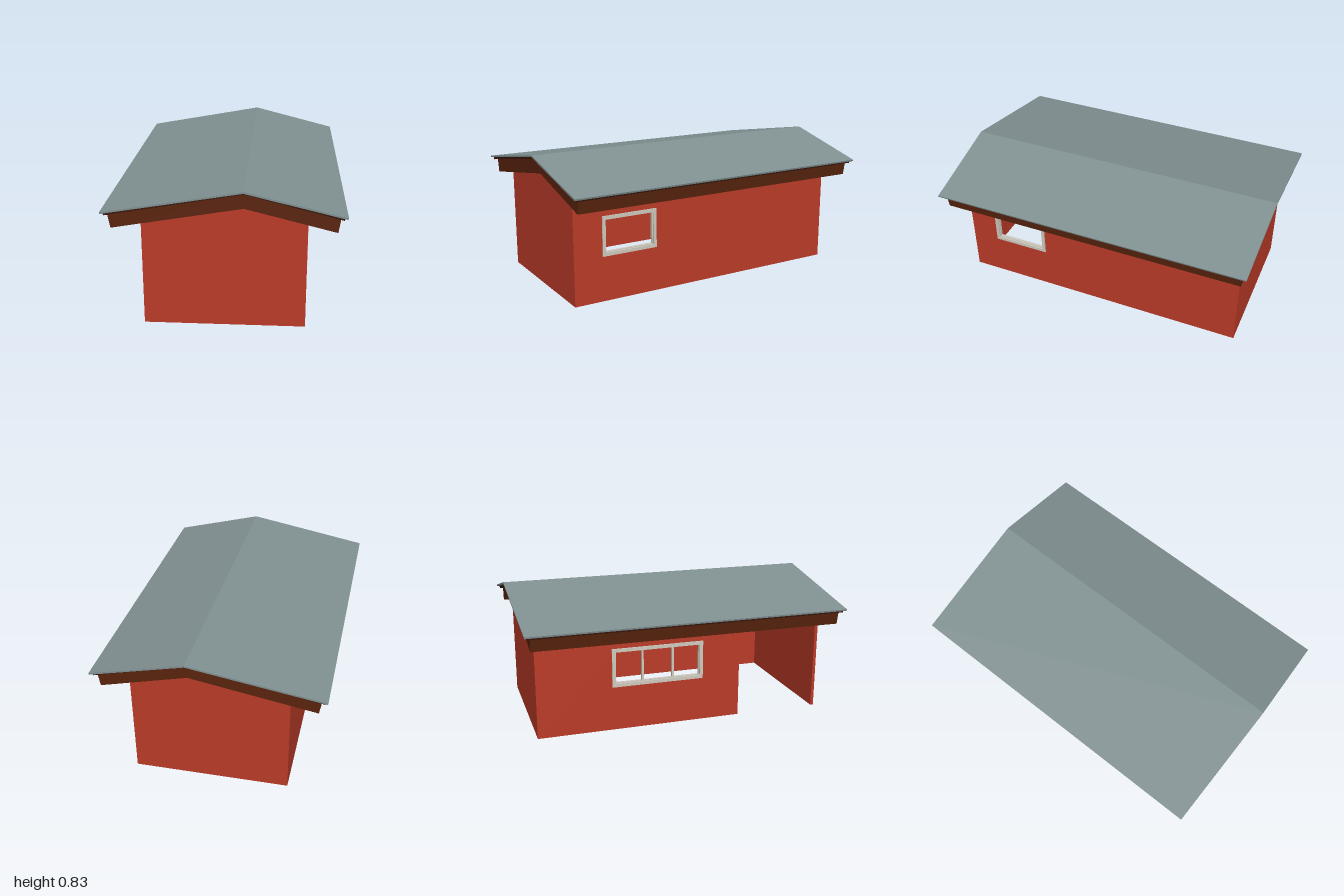
import * as THREE from 'three';

const mat = (color) => new THREE.MeshStandardMaterial({ color, flatShading: true });
const red = mat(0xbb3b28), brown = mat(0x5a240e), darkBrown = mat(0x3a180b);
const slate = mat(0x809091), cream = mat(0xcfcabe);

const polygon = (pts) => new THREE.Shape(pts.map(([x, y]) => new THREE.Vector2(x, y)));
const rectPath = (x0, y0, x1, y1) =>
  new THREE.Path([[x0, y0], [x1, y0], [x1, y1], [x0, y1]].map(([x, y]) => new THREE.Vector2(x, y)));

function extrude(shape, depth) {
  return new THREE.ExtrudeGeometry(shape, { depth, bevelEnabled: false });
}

function add(group, name, geometry, material) {
  const mesh = new THREE.Mesh(geometry, material);
  mesh.name = name;
  group.add(mesh);
  return mesh;
}

// Side profile (z, y) extruded between two x positions
function sidePanel(shape, x0, x1) {
  return extrude(shape, x1 - x0).rotateY(Math.PI / 2).translate(x0, 0, 0);
}

// Cross-section in (x, y) extruded symmetrically along z
function roofLayer(pts, halfLength) {
  return extrude(polygon(pts), halfLength * 2).translate(0, 0, -halfLength);
}

// Longitudinal wall with one window opening; z runs from z0 to z1
function sideWall(x0, x1, z0, z1, top, win) {
  const shape = polygon([[-z1, 0], [-z0, 0], [-z0, top], [-z1, top]]);
  const i = 0.012;
  shape.holes.push(rectPath(-win.z1 + i, win.y0 + i, -win.z0 - i, win.y1 - i));
  return sidePanel(shape, x0, x1);
}

// Window frame with a stepped inner sash and evenly spaced mullions
function windowFrame(name, side, win, panes) {
  const g = new THREE.Group();
  g.name = name;
  const ring = (inset, width) => {
    const a = -win.z1 + inset, b = -win.z0 - inset, c = win.y0 + inset, d = win.y1 - inset;
    const s = polygon([[a, c], [b, c], [b, d], [a, d]]);
    s.holes.push(rectPath(a + width, c + width, b - width, d - width));
    return s;
  };
  const span = (a, b) => (side > 0 ? [a, b] : [-b, -a]);
  add(g, 'outerFrame', sidePanel(ring(0, 0.02), ...span(0.434, 0.468)), cream);
  add(g, 'innerSash', sidePanel(ring(0.019, 0.006), ...span(0.44, 0.458)), cream);
  for (let k = 1; k < panes; k++) {
    const z = win.z0 + ((win.z1 - win.z0) * k) / panes;
    const bar = new THREE.BoxGeometry(0.018, win.y1 - win.y0 - 0.04, 0.012);
    bar.translate(side * 0.449, (win.y0 + win.y1) / 2, z);
    add(g, 'mullion', bar, cream);
  }
  return g;
}

export function createModel() {
  const model = new THREE.Group();
  model.name = 'shed';

  // End walls with an off-centre gable
  const gable = [[-0.46, 0], [0.46, 0], [0.46, 0.638], [0.11, 0.724], [-0.46, 0.626]];
  add(model, 'frontWall', extrude(polygon(gable), 0.02).translate(0, 0, 0.89), red);
  add(model, 'backWall', extrude(polygon(gable), 0.02).translate(0, 0, -0.91), red);

  // Side walls; the one at -x stops short to leave an open entrance
  const smallWin = { z0: 0.375, z1: 0.73, y0: 0.275, y1: 0.515 };
  const wideWin = { z0: -0.45, z1: 0.125, y0: 0.275, y1: 0.515 };
  add(model, 'leftWall', sideWall(0.44, 0.46, -0.89, 0.89, 0.642, smallWin), red);
  add(model, 'rightWall', sideWall(-0.46, -0.44, -0.89, 0.37, 0.63, wideWin), red);
  model.add(windowFrame('smallWindow', 1, smallWin, 1));
  model.add(windowFrame('wideWindow', -1, wideWin, 3));

  // Thick roof slab with ends cut square to each slope
  add(model, 'roofSlab', roofLayer([
    [-0.62, 0.595], [0.11, 0.722], [0.62, 0.595], [0.633, 0.677], [0.11, 0.809], [-0.635, 0.677],
  ], 0.95), brown);

  // Thin boarding between slab and sheet
  add(model, 'roofBoarding', roofLayer([
    [-0.652, 0.674], [0.11, 0.809], [0.65, 0.673], [0.654, 0.688], [0.11, 0.824], [-0.655, 0.689],
  ], 0.97), darkBrown);

  // Top sheet, slightly longer at the ridge than at the eaves
  const sheet = roofLayer([
    [-0.668, 0.687], [0.11, 0.824], [0.667, 0.685], [0.67, 0.695], [0.11, 0.834], [-0.67, 0.697],
  ], 1);
  const p = sheet.attributes.position;
  for (let i = 0; i < p.count; i++) {
    const x = p.getX(i) - 0.11;
    const t = Math.abs(x) / (x < 0 ? 0.78 : 0.56);
    p.setZ(i, p.getZ(i) * (1 - 0.014 * t));
  }
  sheet.computeVertexNormals();
  add(model, 'roofSheet', sheet, slate);

  return model;
}
